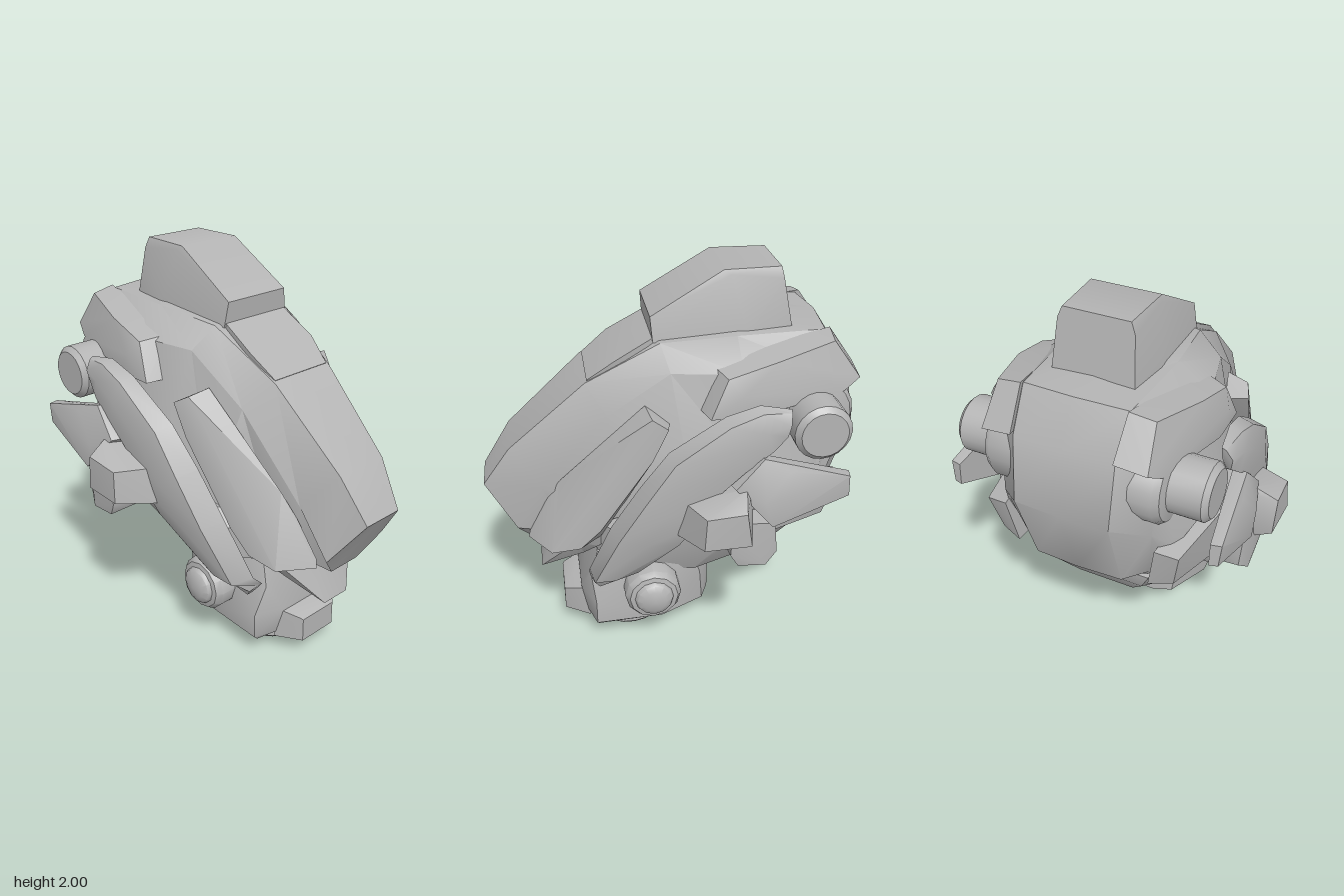
import * as THREE from 'three';
import { toCreasedNormals } from 'three/addons/utils/BufferGeometryUtils.js';
import { ConvexGeometry } from 'three/addons/geometries/ConvexGeometry.js';

const grey = new THREE.MeshStandardMaterial({ color: 0xb4b4b4 });
grey.name = 'light grey';

const V = (p) => new THREE.Vector3(...p);
const flip = (p) => [-p[0], p[1], p[2]];

// Skin over closed loops of equal length, capped at both ends, faces turned outwards
function loft(rings, crease = 0.6) {
  const n = rings[0].length, pts = rings.flat().map(V), idx = [];
  for (let r = 0; r < rings.length - 1; r++) {
    for (let i = 0; i < n; i++) {
      const a = r * n + i, b = r * n + (i + 1) % n;
      idx.push(a, b, b + n, a, b + n, a + n);
    }
  }
  const last = (rings.length - 1) * n;
  for (let i = 1; i < n - 1; i++) {
    idx.push(0, i + 1, i, last, last + i, last + i + 1);
  }
  let volume = 0;
  for (let i = 0; i < idx.length; i += 3) {
    volume += pts[idx[i]].dot(pts[idx[i + 1]].clone().cross(pts[idx[i + 2]]));
  }
  if (volume < 0) idx.reverse();
  const g = new THREE.BufferGeometry().setFromPoints(pts);
  g.setIndex(idx);
  return toCreasedNormals(g, crease);
}

const hull = (points) => toCreasedNormals(new ConvexGeometry(points.map(V)), 0.6);
const hullBoth = (points) => hull([...points, ...points.map(flip)]);

export function createModel() {
  const model = new THREE.Group();
  model.name = 'armouredHead';
  const add = (name, geometry) => {
    const m = new THREE.Mesh(geometry, grey);
    m.name = name;
    model.add(m);
    return m;
  };
  const pair = (name, points) => {
    add(name + 'Left', hull(points));
    add(name + 'Right', hull(points.map(flip)));
  };

  // Hood: half sections from top centre round to bottom centre, snout to back
  const half = [
    [[0, .94, .92], [.11, .94, .92], [.20, .72, .77], [.09, .59, .71], [0, .59, .71]],
    [[0, 1.15, .785], [.145, 1.15, .78], [.25, .98, .64], [.22, .68, .50], [0, .62, .5]],
    [[0, 1.49, .40], [.18, 1.49, .40], [.30, 1.37, .31], [.41, .90, .20], [0, .72, .2]],
    [[0, 1.70, .07], [.23, 1.69, .05], [.35, 1.59, .02], [.48, 1.12, -.05], [0, .72, -.1]],
    [[0, 1.74, -.35], [.27, 1.72, -.30], [.43, 1.60, -.30], [.52, 1.12, -.35], [0, .72, -.35]],
    [[0, 1.73, -.74], [.25, 1.72, -.72], [.39, 1.60, -.64], [.48, 1.08, -.58], [0, .72, -.58]],
    [[0, 1.53, -.86], [.24, 1.53, -.85], [.38, 1.44, -.74], [.44, 1.02, -.68], [0, .74, -.66]],
    [[0, 1.22, -.92], [.23, 1.22, -.91], [.37, 1.14, -.78], [.41, .95, -.70], [0, .75, -.68]],
    [[0, .82, -.80], [.22, .82, -.79], [.32, .84, -.71], [.30, .78, -.67], [0, .74, -.68]],
  ];
  add('hood', loft(half.map((h) => [...h, ...h.slice(1, -1).reverse().map(flip)]), 0.6));

  // Crest on top and the sloping panel before it
  add('crest', hullBoth([
    [.17, 2, -.25], [.16, 2, -.52], [.18, 1.95, -.53], [.20, 1.70, -.58], [.23, 1.70, -.36],
    [.18, 1.80, .09], [.20, 1.68, .08], [.18, 1.98, -.28],
  ]));
  add('crestFrontPanel', hullBoth([
    [.19, 1.70, .08], [.20, 1.60, .26], [.17, 1.50, .39], [.17, 1.47, .37], [.19, 1.60, .05],
  ]));

  // Plates over the temples
  pair('templePlate', [
    [.25, 1.73, -.74], [.37, 1.71, -.73], [.24, 1.55, -.87], [.39, 1.53, -.86], [.31, 1.66, -.30],
    [.45, 1.66, -.45], [.34, 1.62, -.17], [.47, 1.60, -.22], [.38, 1.43, -.10], [.50, 1.42, -.14],
    [.51, 1.53, -.28], [.50, 1.42, -.35], [.42, 1.48, -.78],
  ]);

  // Broad fins beside the snout
  pair('cheekFin', [
    [.35, 1.44, .14], [.46, 1.42, .12], [.49, 1.38, .05], [.38, 1.36, .03], [.48, 1.22, .12],
    [.43, .82, .37], [.41, .71, .47], [.30, .70, .36], [.37, .67, .61], [.21, .67, .72],
    [.20, .71, .71], [.24, .90, .62], [.28, 1.03, .55],
  ]);

  // Sweeping side guards: front edge z, y; rear edge z, y; inner and outer x
  const guardRows = [
    [.43, .47, .38, .40, .28, .34],
    [.43, .53, .20, .59, .34, .495],
    [.32, .83, .01, .80, .42, .58],
    [.18, 1.07, -.06, .92, .46, .61],
    [.05, 1.27, -.14, 1.07, .50, .625],
    [-.20, 1.45, -.28, 1.21, .53, .635],
    [-.35, 1.50, -.40, 1.30, .54, .63],
    [-.49, 1.48, -.47, 1.36, .56, .61],
  ];
  const guard = guardRows.map(([fz, fy, rz, ry, xi, xo]) => {
    const at = (x, t) => [x, fy + (ry - fy) * t, fz + (rz - fz) * t];
    return [at(xi, 0), at(xo - .03, .08), at(xo, .5), at(xo - .01, 1), at(xi + .02, 1), at(xi, .5)];
  });
  add('sideGuardLeft', loft(guard, 0.7));
  add('sideGuardRight', loft(guard.map((r) => r.map(flip)), 0.7));

  // Inner cheeks closing the space between mask and guards
  pair('innerCheek', [
    [.24, .57, .38], [.35, .60, .32], [.42, .76, .26], [.24, .80, .42], [.30, .55, .10],
    [.38, .70, -.08], [.25, .88, -.10], [.45, .88, .10], [.44, .84, -.10],
  ]);

  // Side pods, rear wings and lower boxes
  pair('sidePod', [
    [.57, 1.05, .00], [.56, .87, .04], [.76, 1.06, -.08], [.77, .90, -.07], [.77, 1.08, -.26],
    [.765, .90, -.29], [.66, 1.14, -.28], [.64, .84, -.30], [.54, .86, -.34], [.54, 1.14, -.34],
  ]);
  pair('rearWing', [
    [.63, 1.18, -.76], [.68, 1.18, -.75], [.63, 1.07, -.77], [.67, 1.07, -.76], [.57, 1.27, -.35],
    [.64, 1.28, -.36], [.67, 1.22, -.48], [.56, 1.14, -.20], [.66, 1.14, -.23], [.57, .93, -.44],
    [.70, .95, -.40], [.70, 1.08, -.36],
  ]);
  pair('lowerBox', [
    [.50, .96, -.20], [.68, .97, -.22], [.69, .80, -.21], [.50, .76, -.21], [.68, .73, -.25],
    [.52, .73, -.40], [.69, .73, -.38], [.66, .78, -.44], [.50, .96, -.45], [.67, .95, -.42],
  ]);
  pair('rearSidePanel', [
    [.42, 1.08, -.35], [.55, 1.05, -.40], [.53, .96, -.45], [.49, 1.03, -.76], [.38, 1.05, -.78],
    [.45, .83, -.72], [.34, .82, -.76], [.52, .80, -.46], [.36, .75, -.40],
  ]);
  pair('podBracket', [
    [.42, 1.15, .05], [.56, 1.08, -.02], [.55, .88, .00], [.40, .82, .02], [.57, .86, -.38],
    [.38, .76, -.40], [.56, 1.14, -.38], [.42, 1.22, -.40],
  ]);

  // Ear cylinders and jaw hinges, stepped profiles turned about the x axis
  const turned = (name, profile, sides, y, z) => {
    for (const s of [1, -1]) {
      const g = toCreasedNormals(new THREE.LatheGeometry(
        profile.map(([r, h]) => new THREE.Vector2(r, h)), sides), 0.7);
      const m = add(name + (s > 0 ? 'Left' : 'Right'), g);
      m.rotation.z = -s * Math.PI / 2;
      m.position.set(0, y, z);
    }
  };
  turned('earCylinder', [[0, .2], [.20, .2], [.20, .39], [.18, .42], [.135, .43], [.135, .585],
    [.11, .61], [0, .61]], 20, 1.36, -.64);
  turned('jawHinge', [[0, .2], [.145, .2], [.145, .38], [.125, .41], [.10, .415], [.09, .435],
    [.06, .45], [0, .46]], 12, .36, .11);

  // Face mask under the snout
  add('faceMask', hullBoth([
    [.08, .38, .67], [.07, .40, .59], [.11, .46, .62], [.24, .56, .45], [.31, .68, .48],
    [.29, .63, .38], [.30, .72, .25], [.10, .62, .58], [.18, .58, .30],
  ]));

  // Jaw, chin block and rear underside
  add('jaw', hullBoth([
    [.27, .10, .39], [.30, .13, .40], [.30, .26, .40], [.24, .42, .42], [.22, .54, .38],
    [.16, .28, .47], [.18, .13, .44], [.28, .62, .12], [.31, .42, .00], [.31, .15, .05],
    [.21, .16, -.18], [.12, .17, -.225], [.12, .32, -.225], [.24, .36, -.16], [.26, .55, -.1],
  ]));
  add('chinBlock', hullBoth([
    [.11, .10, .56], [.11, .23, .56], [.13, .25, .51], [.18, .27, .43], [.19, .10, .43],
    [.12, .24, .55],
  ]));
  add('rearUnderside', hullBoth([
    [.28, .46, .20], [.35, .72, .08], [.40, .77, -.20], [.40, .75, -.40], [.30, .75, -.67],
    [.26, .67, -.66], [.15, .49, -.535], [.27, .53, -.48], [.17, .40, -.28], [.28, .42, -.12],
    [.36, .62, -.25], [.32, .58, .16],
  ]));

  // Neck stub, its base slightly slanted
  const neckRing = (r, y, slant) => Array.from({ length: 20 }, (_, i) => {
    const a = i / 20 * Math.PI * 2, z = .19 + Math.cos(a) * r;
    return [Math.sin(a) * r, y + (.4 - z) * slant, z];
  });
  add('neck', loft([neckRing(.195, 0, .09), neckRing(.213, .02, .09), neckRing(.213, .2, .09)]));

  return model;
}
